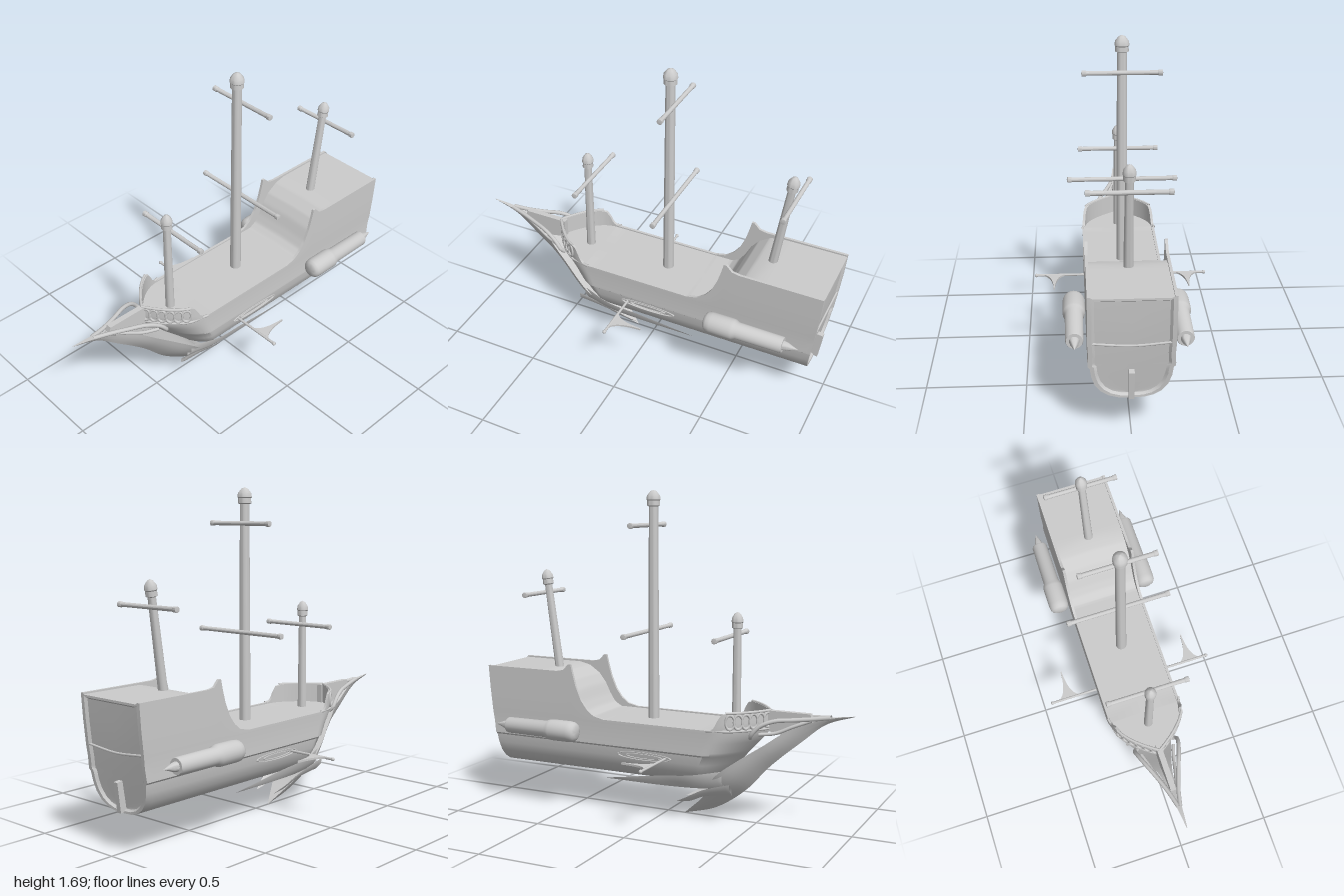
import * as THREE from 'three';
import { toCreasedNormals } from 'three/addons/utils/BufferGeometryUtils.js';

const mat = new THREE.MeshStandardMaterial({ color: 0xcccccc, side: THREE.DoubleSide });
const V = (x, y, z) => new THREE.Vector3(x, y, z);
const clamp = THREE.MathUtils.clamp;

function part(name, geo, parent) {
  const m = new THREE.Mesh(geo, mat);
  m.name = name;
  parent.add(m);
  return m;
}

// skin over rows of equal point counts
function loft(rows, crease = 0.6) {
  const n = rows[0].length, idx = [];
  for (let i = 0; i < rows.length - 1; i++)
    for (let j = 0; j < n - 1; j++) {
      const a = i * n + j, b = a + n;
      idx.push(a, b, a + 1, b, b + 1, a + 1);
    }
  const g = new THREE.BufferGeometry().setFromPoints(rows.flat());
  g.setIndex(idx);
  return toCreasedNormals(g, crease);
}

const curve = pts => new THREE.CatmullRomCurve3(pts.map(p => V(...p)));
const tube = (pts, r, seg = 24) => new THREE.TubeGeometry(curve(pts), seg, r, 8);
const lathe = (pts, seg = 24) =>
  toCreasedNormals(new THREE.LatheGeometry(pts.map(p => new THREE.Vector2(...p)), seg), 0.6);

// straight interpolation in a table of [z, value]
function table(tab, z) {
  if (z <= tab[0][0]) return tab[0][1];
  for (let i = 1; i < tab.length; i++)
    if (z <= tab[i][0]) {
      const [a, va] = tab[i - 1], [b, vb] = tab[i];
      return va + (vb - va) * (z - a) / (b - a);
    }
  return tab[tab.length - 1][1];
}

const RIM = [[-1, .745], [-.56, .745], [-.52, .753], [-.49, .785], [-.475, .785], [-.465, .74], [-.445, .67], [-.415, .6],
  [-.38, .553], [-.34, .522], [-.28, .508], [.32, .508], [.345, .525], [.36, .56], [.38, .592], [.41, .6], [.58, .6]];
const DECK = [[-1, .737], [-.64, .735], [-.58, .72], [-.52, .68], [-.48, .63], [-.45, .57], [-.42, .525], [-.38, .502], [.58, .5]];
const beam = z => z < .32 ? .2 : .2 * (1 - clamp((z - .32) / .25, 0, 1) ** 2);

// half cross-section from keel, up the side, over the rim to the deck centre
function hullSection(zs) {
  const w = beam(zs), top = table(RIM, zs), deck = table(DECK, zs), inner = Math.max(w - .014, 0);
  const bow = clamp((zs - .1) / .47, 0, 1), stern = clamp((-.6 - zs) / .395, 0, 1);
  const pts = [[0, .195], [.3 * w, .198], [.52 * w, .211], [.7 * w, .235], [.84 * w, .272], [.92 * w, .32], [.95 * w, .366],
    [w, .376], [w, .39], [w * .985, .44], [w, .495], [w, (top + .495) / 2], [w, top], [inner, top], [inner, deck], [0, deck]];
  return pts.map(([x, y]) => V(x, y,
    zs - bow * .9 * Math.max(0, .5 - y) + stern * .065 * (Math.max(0, .745 - y) / .55) ** 1.3));
}

// pointed blade between two edge curves, thickened in the middle
function blade(a, b, thick) {
  const ca = curve(a), cb = curve(b), rows = [];
  for (let i = 0; i <= 20; i++) {
    const p = ca.getPoint(i / 20), q = cb.getPoint(i / 20);
    const mid = p.clone().add(q).multiplyScalar(.5), t = thick * (1 - i / 20);
    rows.push([p, V(mid.x + t, mid.y, mid.z), q, V(mid.x - t, mid.y, mid.z), p.clone()]);
  }
  return loft(rows, .9);
}

function mast(name, r, head, height, parent) {
  return part(name, lathe([[0, 0], [r * 1.08, 0], [r * .9, height - .085], [head, height - .08], [head * .95, height - .055],
    [head * 1.08, height - .05], [head, height - .03], [head * .5, height - .008], [0, height]]), parent);
}

function yard(name, half, y, z, parent) {
  const r = .0115, e = .0145;
  const m = part(name, lathe([[0, -half], [e, -half + .003], [e, -half + .022], [r, -half + .027],
    [r, half - .027], [e, half - .022], [e, half - .003], [0, half]], 12), parent);
  m.rotation.z = Math.PI / 2;
  m.position.set(0, y, z);
}

// everything that repeats on both sides, modelled on +x
function buildSide() {
  const g = new THREE.Group();

  // half hull
  const zs = [];
  for (let z = -.995; z < -.58; z += .05) zs.push(z);
  for (let z = -.58; z < -.26; z += .0075) zs.push(z);
  for (let z = -.25; z < .3; z += .055) zs.push(z);
  for (let z = .31; z < .57; z += .01) zs.push(z);
  zs.push(.57);
  part('hull', loft(zs.map(hullSection)), g);

  // transom with a sunken panel
  const edge = hullSection(-.995);
  part('transom', loft([[1, 0], [.9, 0], [.84, .012], [.4, .014], [0, .014]].map(([f, d]) =>
    edge.map(p => V(p.x * f, .47 + (p.y - .47) * (f < .9 ? .93 : f < 1 ? .96 : 1), p.z + d)))), g);

  // ram: V-shaped sweep from the beak down to the forefoot
  const keel = curve([[0, .605, 1], [0, .555, .86], [0, .45, .73], [0, .31, .57], [0, .17, .44], [0, .06, .28], [0, .005, .1]]);
  const rim = curve([[.002, .607, 1], [.016, .583, .86], [.034, .52, .69], [.085, .41, .53], [.148, .265, .33],
    [.085, .145, .25], [.002, .008, .1]]);
  const rows = [];
  for (let i = 0; i <= 48; i++) {
    const k = keel.getPoint(i / 48), e = rim.getPoint(i / 48), row = [];
    for (let j = 0; j <= 6; j++) {
      const p = k.clone().lerp(e, j / 6);
      p.x += .12 * e.x * Math.sin(Math.PI * j / 6);
      row.push(p);
    }
    row.push(V(0, e.y, e.z));
    rows.push(row);
  }
  part('ram', loft(rows), g);

  // swept feathers trailing from the ram
  part('middleFeather', blade([[.13, .225, .4], [.11, .175, .25], [.085, .115, .14], [.06, .08, .075]],
    [[.09, .16, .4], [.08, .135, .25], [.065, .092, .15], [.06, .08, .075]], .014), g);
  part('longFeather', blade([[.135, .29, .36], [.168, .26, .2], [.158, .235, .02], [.135, .18, -.3]],
    [[.1, .19, .36], [.13, .185, .2], [.135, .18, .02], [.132, .178, -.3]], .016), g);

  // curled brackets joining the bow and the beak
  part('bowBracket', tube([[.006, .59, .88], [.025, .58, .8], [.055, .572, .71], [.09, .565, .62], [.113, .535, .55],
    [.118, .49, .51], [.1, .47, .5]], .011), g);
  part('lowerBracket', tube([[.02, .57, .79], [.045, .535, .7], [.065, .5, .62], [.09, .49, .54]], .009), g);

  // rail along the bow and its row of arches
  const path = [], low = [];
  for (let z = .4; z <= .571; z += .017) {
    path.push([beam(z), .6, z]);
    low.push([beam(z), .508, z]);
  }
  part('bowRail', tube(path, .007), g);
  part('bowLedge', tube([[.2, .508, .3], ...low], .007), g);
  const line = curve(path);
  for (let i = 0; i < 6; i++) {
    const u = (i + .5) / 6, p = line.getPointAt(u), t = line.getTangentAt(u);
    const arch = part('bowArch', new THREE.TorusGeometry(.03, .007, 8, 24), g);
    arch.position.set(p.x, .554, p.z);
    arch.rotation.y = Math.atan2(-t.z, t.x);
    arch.scale.set(.75, 1.2, 1);
  }

  // side barrel with pointed tail
  const barrel = part('sideBarrel', lathe([[0, 0], [.03, .002], [.044, .009], [.052, .022], [.055, .045], [.055, .15],
    [.053, .165], [.044, .185], [.042, .42], [.039, .427], [.024, .427], [.02, .45], [0, .505]]), g);
  barrel.rotation.x = -Math.PI / 2;
  barrel.position.set(.257, .44, -.405);

  // outrigger pole, its swept fin and the oval port on the hull
  part('outriggerPole', tube([[.17, .335, .07], [.3, .335, .07], [.458, .335, .07]], .007, 4), g);
  const knob = part('outriggerTip', new THREE.SphereGeometry(.01, 12, 8), g);
  knob.position.set(.455, .335, .07);
  const s = new THREE.Shape();
  s.moveTo(.29, .07);
  s.quadraticCurveTo(.35, .055, .355, -.09);
  s.lineTo(.361, -.09);
  s.quadraticCurveTo(.365, .055, .425, .07);
  const fin = part('outriggerFin', new THREE.ExtrudeGeometry(s, { depth: .01, bevelEnabled: false, curveSegments: 16 }), g);
  fin.rotation.x = Math.PI / 2;
  fin.position.y = .34;
  for (const [r, y] of [[.15, .02], [.1, .011]]) {
    const port = part('outriggerPort', new THREE.TorusGeometry(1, .05, 8, 48), g);
    port.rotation.y = Math.PI / 2;
    port.scale.set(r, y, .1);
    port.position.set(.187, .335, -.05);
  }
  return g;
}

export function createModel() {
  const ship = new THREE.Group();
  ship.name = 'sailingShip';
  const left = buildSide(), right = buildSide();
  left.name = 'leftSide';
  right.name = 'rightSide';
  right.scale.x = -1;
  ship.add(left, right);

  // masts and yards
  mast('foreMast', .022, .028, .585, ship).position.set(0, .5, .385);
  mast('mainMast', .027, .034, 1.195, ship).position.set(0, .495, -.085);
  const mizzen = mast('mizzenMast', .022, .029, .545, ship);
  mizzen.position.set(0, .725, -.663);
  mizzen.rotation.x = -.14;
  yard('foreYard', .22, .96, .35, ship);
  yard('mainLowerYard', .28, .96, -.12, ship);
  yard('mainUpperYard', .2, 1.51, -.12, ship);
  yard('mizzenYard', .2, 1.137, -.755, ship);

  // wedge-shaped spar over the beak
  const s = new THREE.Shape([[.54, .6], [.78, .6], [.79, .57], [.74, .535], [.64, .48], [.54, .5]]
    .map(p => new THREE.Vector2(...p)));
  const spar = part('bowSpar', new THREE.ExtrudeGeometry(s, { depth: .03, bevelEnabled: false }), ship);
  spar.rotation.y = -Math.PI / 2;
  spar.position.x = .015;

  // transom moulding and rudder
  part('transomMoulding', tube([[-.18, .5, -.966], [0, .485, -.962], [.18, .5, -.966]], .006), ship);
  const rudder = part('rudder', new THREE.BoxGeometry(.026, .15, .035), ship);
  rudder.position.set(0, .275, -.942);
  rudder.rotation.x = -.13;
  return ship;
}
